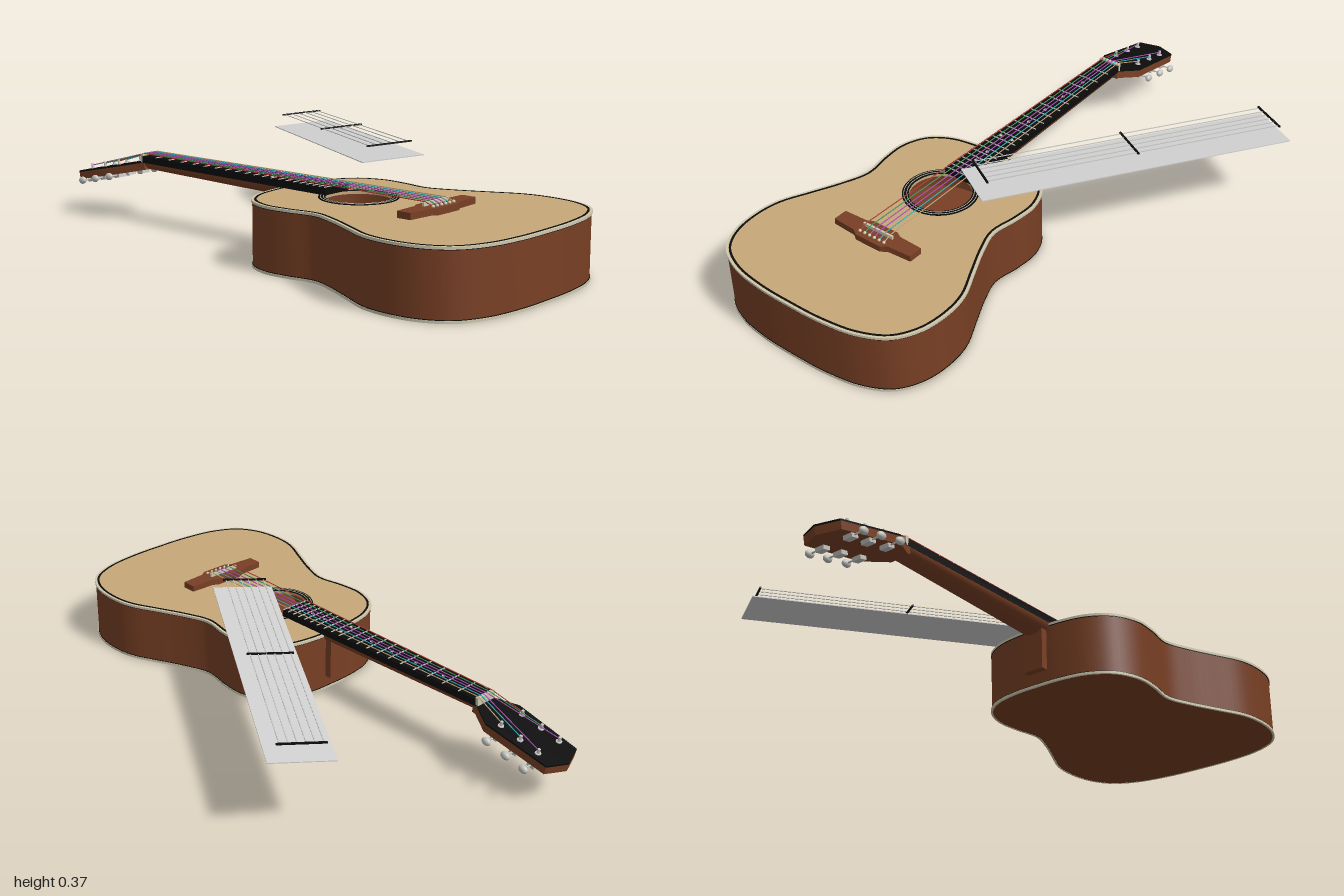
import * as THREE from 'three';
import { toCreasedNormals } from 'three/addons/utils/BufferGeometryUtils.js';

const mat = (name, color, side = THREE.FrontSide) => {
  const m = new THREE.MeshStandardMaterial({ color, side });
  m.name = name;
  return m;
};

const V = (x, y, z) => new THREE.Vector3(x, y, z);

function add(parent, name, geometry, material, x = 0, y = 0, z = 0) {
  const mesh = new THREE.Mesh(geometry, material);
  mesh.name = name;
  mesh.position.set(x, y, z);
  parent.add(mesh);
  return mesh;
}

// Horizontal slab: outline points are (x, z), top face at topY
function slab(points, depth, topY, hole) {
  const shape = new THREE.Shape(points);
  if (hole) shape.holes.push(new THREE.Path(hole));
  const g = new THREE.ExtrudeGeometry(shape, { depth, bevelEnabled: false });
  g.rotateX(Math.PI / 2).translate(0, topY, 0);
  return toCreasedNormals(g, 0.6);
}

const pts = (list) => list.map(([x, z]) => new THREE.Vector2(x, z));
const mirrored = (list) => pts([...list, ...list.filter(([x]) => x > 0).reverse().map(([x, z]) => [-x, z])]);

function circle(r, cz, n = 48) {
  return Array.from({ length: n }, (_, i) => {
    const a = (i / n) * Math.PI * 2;
    return new THREE.Vector2(Math.cos(a) * r, cz + Math.sin(a) * r);
  });
}

// Move a closed outline inwards by d
function inset(outline, d) {
  const n = outline.length;
  return outline.map((p, i) => {
    const t = outline[(i + 1) % n].clone().sub(outline[(i + n - 1) % n]).normalize();
    return new THREE.Vector2(p.x - t.y * d, p.y + t.x * d);
  });
}

// Straight round rod between two points
function rod(parent, name, a, b, r, material, sides = 6) {
  const d = b.clone().sub(a);
  const mesh = add(parent, name, new THREE.CylinderGeometry(r, r, d.length(), sides), material);
  mesh.position.copy(a).addScaledVector(d, 0.5);
  mesh.quaternion.setFromUnitVectors(V(0, 1, 0), d.normalize());
  return mesh;
}

export function createModel() {
  const model = new THREE.Group();
  model.name = 'guitarAndChart';
  const wood = mat('mahogany', 0x783f24);
  const spruce = mat('spruce', 0xc6a878);
  const black = mat('ebony', 0x0c0c0c);
  const silver = mat('silver', 0xc4c4c0);
  const cream = mat('cream', 0xcfc8ae);
  const grey = mat('plateGrey', 0xd2d2d2);
  const red = mat('redString', 0xb03a3a);
  const green = mat('greenString', 0x3f9a55);
  const magenta = mat('magentaString', 0xb050b8);
  const cyan = mat('cyanString', 0x30b4c4);

  const guitar = new THREE.Group();
  guitar.name = 'guitar';
  guitar.position.x = -0.2;
  model.add(guitar);

  // Body outline, right half mirrored, running clockwise then made counter-clockwise
  const half = [[0, 0.012], [0.09, 0.015], [0.18, 0.035], [0.25, 0.085], [0.286, 0.17], [0.284, 0.26],
    [0.27, 0.36], [0.299, 0.45], [0.345, 0.55], [0.39, 0.65], [0.402, 0.74], [0.388, 0.84],
    [0.34, 0.92], [0.25, 0.968], [0.13, 0.989], [0, 0.993]];
  const loop = mirrored(half).map((p) => V(p.x, p.y, 0));
  const edge = new THREE.CatmullRomCurve3(loop, true).getPoints(140).slice(0, -1)
    .map((p) => new THREE.Vector2(p.x, p.y));
  const holeZ = 0.3;
  const hole = circle(0.104, holeZ);

  // Hollow body
  add(guitar, 'sides', slab(edge, 0.196, 0.203, inset(edge, 0.014)), wood);
  add(guitar, 'back', slab(inset(edge, 0.003), 0.01, 0.0115), wood);
  add(guitar, 'soundboard', slab(inset(edge, 0.003), 0.01, 0.212, hole), spruce);
  const outer = inset(edge, -0.003), inner = inset(edge, 0.004);
  for (const y of [0.2125, 0.009]) {
    add(guitar, 'binding', slab(outer, 0.008, y, inner), cream);
    add(guitar, 'bindingLine', slab(inset(edge, -0.002), 0.002, y === 0.009 ? 0.011 : 0.2045, inner), black);
  }
  add(guitar, 'purfling', slab(inset(edge, 0.006), 0.002, 0.213, inset(edge, 0.013)), black);

  // Rosette around the sound hole
  add(guitar, 'rosette', slab(circle(0.126, holeZ), 0.003, 0.2145, hole), black);
  for (const r of [0.109, 0.119]) {
    add(guitar, 'rosetteRing', slab(circle(r + 0.002, holeZ), 0.002, 0.2155, circle(r, holeZ)), cream);
  }

  // Neck, heel and fingerboard
  const neckGeo = new THREE.CylinderGeometry(0.04, 0.052, 0.68, 20, 1, false, Math.PI / 2, Math.PI);
  neckGeo.rotateX(-Math.PI / 2).scale(1, 0.82, 1);
  add(guitar, 'neck', neckGeo, wood, 0, 0.22, -0.32);
  add(guitar, 'heel', new THREE.BoxGeometry(0.075, 0.16, 0.035), wood, 0, 0.13, 0.0045);
  const boardZ0 = -0.66, boardZ1 = 0.21;
  add(guitar, 'fingerboard', slab(pts([[-0.04, boardZ0], [0.04, boardZ0], [0.056, boardZ1], [-0.056, boardZ1]]), 0.024, 0.238), black);
  add(guitar, 'nut', new THREE.BoxGeometry(0.08, 0.03, 0.012), cream, 0, 0.23, -0.664);

  // Frets at equal-tempered spacing, with position dots
  const scale = 1.265;
  const fretZ = (n) => -0.66 + scale * (1 - 2 ** (-n / 12));
  const boardHalf = (z) => 0.04 + 0.016 * (z - boardZ0) / (boardZ1 - boardZ0);
  for (let n = 1; n <= 20; n++) {
    add(guitar, 'fret', new THREE.BoxGeometry(boardHalf(fretZ(n)) * 2, 0.003, 0.003), silver, 0, 0.239, fretZ(n));
  }
  for (const n of [3, 5, 7, 9, 12, 15, 17]) {
    const z = (fretZ(n) + fretZ(n - 1)) / 2;
    for (const x of n === 12 ? [-0.024, 0.024] : [0]) {
      add(guitar, 'fretDot', new THREE.CylinderGeometry(0.006, 0.006, 0.002, 14), cream, x, 0.2385, z);
    }
  }

  // Headstock, tilted back from the nut
  const head = new THREE.Group();
  head.name = 'headstock';
  head.position.set(0, 0.218, -0.66);
  head.rotation.x = -0.21;
  guitar.add(head);
  const headOutline = mirrored([[0, -0.348], [0.073, -0.318], [0.081, -0.08], [0.04, -0.008], [0.04, 0.006]]);
  add(head, 'headstockWood', slab(headOutline, 0.026, -0.004), wood);
  add(head, 'headstockFace', slab(headOutline, 0.006, 0.002), black);

  // Tuning machines
  const tunerZ = [-0.115, -0.193, -0.265];
  for (const s of [-1, 1]) for (const z of tunerZ) {
    rod(head, 'tunerPost', V(s * 0.05, -0.03, z), V(s * 0.05, 0.02, z), 0.005, silver, 12);
    add(head, 'tunerCollar', new THREE.CylinderGeometry(0.01, 0.01, 0.004, 14), silver, s * 0.05, 0.003, z);
    add(head, 'tunerGear', new THREE.BoxGeometry(0.034, 0.014, 0.026), silver, s * 0.055, -0.036, z);
    rod(head, 'tunerShaft', V(s * 0.06, -0.034, z), V(s * 0.1, -0.034, z), 0.003, silver, 8);
    const knob = add(head, 'tunerKnob', new THREE.SphereGeometry(1, 14, 10), silver, s * 0.106, -0.034, z);
    knob.scale.set(0.01, 0.013, 0.017);
  }

  // Bridge, saddle and pins
  const bridge = pts([[-0.158, 0.578], [-0.07, 0.574], [-0.05, 0.563], [0.05, 0.563], [0.07, 0.574], [0.158, 0.578],
    [0.158, 0.628], [0.07, 0.634], [0.05, 0.648], [-0.05, 0.648], [-0.07, 0.634], [-0.158, 0.628]]);
  add(guitar, 'bridge', slab(bridge, 0.022, 0.233), wood);
  add(guitar, 'saddle', new THREE.BoxGeometry(0.12, 0.014, 0.007), cream, 0, 0.238, 0.597);

  // Six strings from bridge pins over saddle and nut to the posts
  const colors = [red, green, magenta, magenta, cyan, spruce];
  colors.forEach((color, i) => {
    const t = (i - 2.5) / 2.5, s = Math.sign(t);
    const post = V(s * 0.05, 0.014, tunerZ[i < 3 ? i : 5 - i]).applyEuler(head.rotation).add(head.position);
    const path = [V(t * 0.05, 0.236, 0.625), V(t * 0.05, 0.246, 0.597), V(t * 0.032, 0.246, -0.664), post];
    for (let k = 0; k < 3; k++) rod(guitar, 'string', path[k], path[k + 1], 0.0018, color);
    add(guitar, 'bridgePin', new THREE.SphereGeometry(0.0055, 10, 8), cream, t * 0.05, 0.235, 0.627);
  });

  // Floating tilted plate with a set of strings above it
  const chart = new THREE.Group();
  chart.name = 'stringChart';
  const along = V(-0.574, 0.042, 0.925).normalize();
  const across = V(0.174, 0.015, 0.11).normalize();
  const up = along.clone().cross(across).normalize();
  across.crossVectors(up, along);
  chart.quaternion.setFromRotationMatrix(new THREE.Matrix4().makeBasis(across, up, along));
  chart.position.set(0.234, 0.295, -0.145);
  model.add(chart);
  add(chart, 'chartPlate', new THREE.BoxGeometry(0.205, 0.003, 1.088), grey);
  for (let i = 0; i < 6; i++) {
    add(chart, 'chartString', new THREE.BoxGeometry(0.003, 0.002, 1.03), silver, (i - 2.5) * 0.026, 0.045, 0);
  }
  for (const z of [-0.515, 0, 0.515]) {
    add(chart, 'chartBar', new THREE.BoxGeometry(0.15, 0.005, 0.006), black, 0, 0.045, z);
  }
  return model;
}
